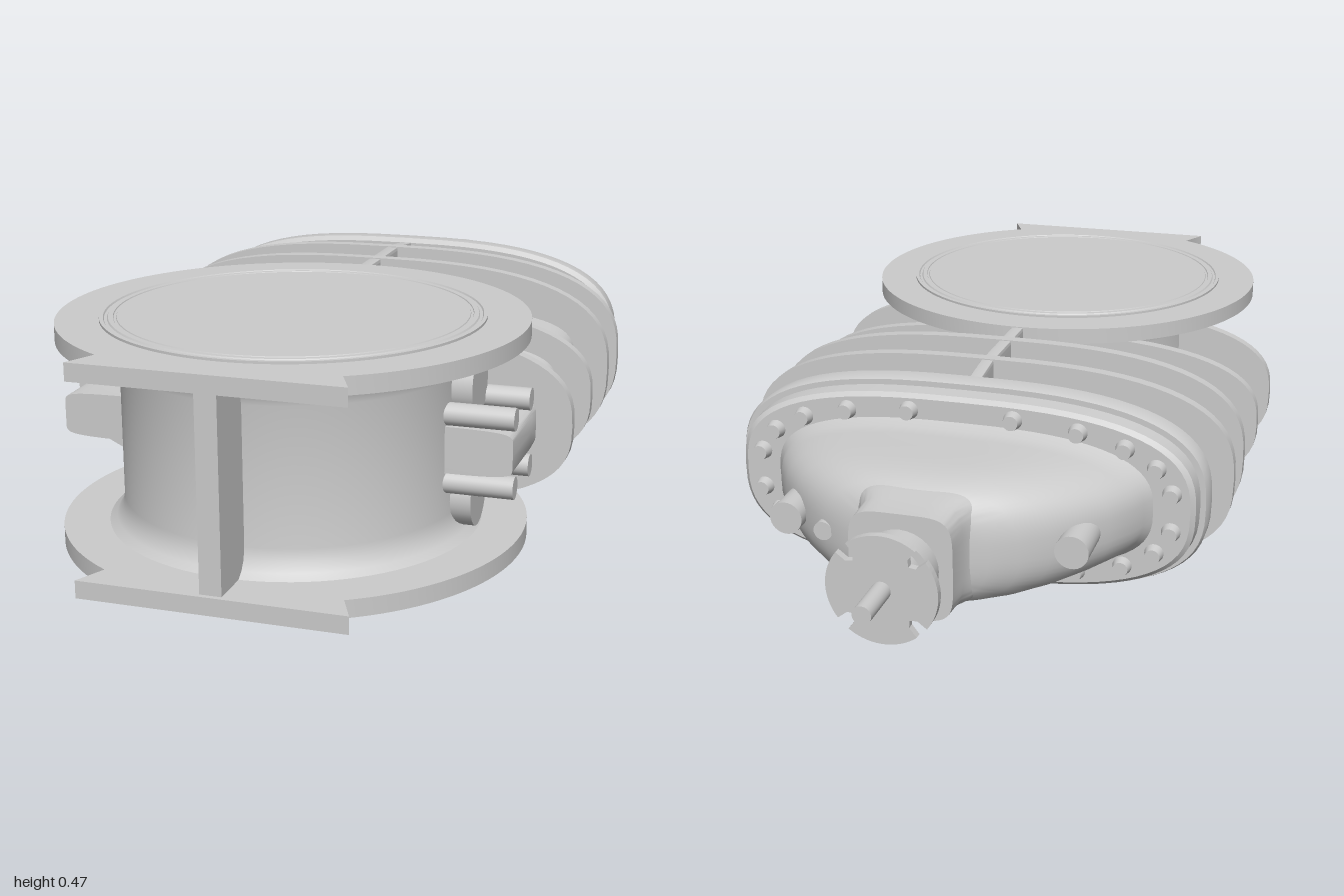
import * as THREE from 'three';
import { toCreasedNormals } from 'three/addons/utils/BufferGeometryUtils.js';

const MID = 0.235; // height of the valve's centre plane
const FLOW_Z = 0.52; // z of the vertical flow axis
const grey = new THREE.MeshStandardMaterial({ color: 0xcccccc });

// Solid through superellipse sections [z, halfWidth, halfHeight, power], z increasing
function loft(sections, steps = 72) {
  const pos = [], index = [];
  const point = (z, hx, hy, n, t) => {
    const c = Math.cos(t), s = Math.sin(t);
    pos.push(hx * Math.sign(c) * Math.abs(c) ** (2 / n), hy * Math.sign(s) * Math.abs(s) ** (2 / n), z);
  };
  for (const [z, hx, hy, n] of sections)
    for (let j = 0; j < steps; j++) point(z, hx, hy, n, (j / steps) * Math.PI * 2);
  const last = sections.length - 1, c0 = (last + 1) * steps;
  pos.push(0, 0, sections[0][0], 0, 0, sections[last][0]);
  for (let j = 0; j < steps; j++) {
    const k = (j + 1) % steps;
    for (let i = 0; i < last; i++) {
      const a = i * steps, b = a + steps;
      index.push(a + j, a + k, b + k, a + j, b + k, b + j);
    }
    index.push(c0, k, j, c0 + 1, last * steps + j, last * steps + k);
  }
  const g = new THREE.BufferGeometry();
  g.setAttribute('position', new THREE.Float32BufferAttribute(pos, 3));
  g.setIndex(index);
  return toCreasedNormals(g, 0.6);
}

export function createModel() {
  const model = new THREE.Group();
  const add = (name, geometry, x = 0, y = 0, z = 0) => {
    const m = new THREE.Mesh(geometry, grey);
    m.name = name;
    m.position.set(x, y, z);
    model.add(m);
    return m;
  };
  const addLoft = (name, sections) => add(name, loft(sections), 0, MID, 0);
  // Cylinder along z, from z0 back to z1
  const rodZ = (name, r, z0, z1, x = 0, y = MID, rBack = r) =>
    add(name, new THREE.CylinderGeometry(r, rBack, z0 - z1, 32).rotateX(Math.PI / 2), x, y, (z0 + z1) / 2);
  // Cylinder along x
  const rodX = (name, r, x0, x1, y, z) =>
    add(name, new THREE.CylinderGeometry(r, r, x1 - x0, 32).rotateZ(Math.PI / 2), (x0 + x1) / 2, y, z);

  // Vertical barrel with filleted ends
  const half = [[0.355, 0], [0.355, 0.14], [0.36, 0.165], [0.372, 0.183], [0.395, 0.2]];
  const profile = [...half.slice(1).reverse().map(([r, y]) => [r, -y]), ...half];
  add('barrel', toCreasedNormals(new THREE.LatheGeometry(
    profile.map(([r, y]) => new THREE.Vector2(r, y)), 96), 0.6), 0, MID, FLOW_Z);

  // Round pipe flanges with a flat foot at the front
  const outline = new THREE.Shape();
  outline.moveTo(0.24, 0.936);
  outline.lineTo(0.27, 1);
  outline.lineTo(-0.27, 1);
  outline.lineTo(-0.24, 0.936);
  outline.absarc(0, FLOW_Z, 0.48, Math.PI * 2 / 3, Math.PI * 7 / 3, false);
  const flange = toCreasedNormals(new THREE.ExtrudeGeometry(outline,
    { depth: 0.036, bevelEnabled: false, curveSegments: 96 }).rotateX(Math.PI / 2), 0.5);
  // Raised sealing face with shallow grooves
  const face = toCreasedNormals(new THREE.LatheGeometry(
    [[0.392, 0], [0.392, 0.005], [0.384, 0.005], [0.382, 0.002], [0.376, 0.002], [0.374, 0.005],
      [0.364, 0.005], [0.363, 0.003], [0.358, 0.003], [0.357, 0.005], [0, 0.005]]
      .map(([r, y]) => new THREE.Vector2(r, y)), 96), 0.4);
  add('topFlange', flange, 0, 0.465, 0);
  add('bottomFlange', flange, 0, 0.041, 0);
  add('topFace', face, 0, 0.465, FLOW_Z);
  add('bottomFace', face, 0, 0.005, FLOW_Z).rotation.x = Math.PI;
  add('frontRib', new THREE.BoxGeometry(0.044, 0.392, 0.13), 0, MID, 0.925);

  // Gate housing, side guides and centre rib
  addLoft('housing', [[-0.32, 0.41, 0.168, 3], [-0.05, 0.4, 0.165, 3], [0.17, 0.4, 0.135, 3.2],
    [0.4, 0.395, 0.095, 3.5], [0.5, 0.37, 0.08, 3.5]]);
  addLoft('sideGuides', [[-0.32, 0.48, 0.13, 4], [-0.05, 0.48, 0.13, 4], [0.17, 0.48, 0.115, 4],
    [0.39, 0.48, 0.062, 6], [0.45, 0.48, 0.051, 10], [0.615, 0.478, 0.048, 10]]);
  addLoft('centreRib', [[-0.34, 0.014, 0.212, 30], [-0.2, 0.014, 0.228, 30], [0.18, 0.014, 0.228, 30]]);

  // Stiffening ribs around the housing
  for (const [z, h] of [[-0.19, 0.23], [-0.05, 0.23], [0.17, 0.185], [0.39, 0.19]])
    addLoft('housingRib', [[z - 0.013, 0.555, h, 2.8], [z + 0.013, 0.555, h, 2.8]]);

  // Bolted bonnet joint
  addLoft('housingFlange', [[-0.356, 0.52, 0.222, 2.8], [-0.345, 0.525, 0.226, 2.8],
    [-0.31, 0.525, 0.226, 2.8], [-0.3, 0.515, 0.216, 2.8]]);
  addLoft('bonnetFlange', [[-0.402, 0.495, 0.198, 2.8], [-0.392, 0.505, 0.207, 2.8],
    [-0.356, 0.508, 0.21, 2.8]]);
  for (let i = 0; i < 20; i++) {
    const t = ((i + 0.5) / 20) * Math.PI * 2, c = Math.cos(t), s = Math.sin(t);
    rodZ('bonnetBolt', 0.022, -0.395, -0.424, 0.46 * Math.sign(c) * Math.abs(c) ** 0.75,
      MID + 0.172 * Math.sign(s) * Math.abs(s) ** 0.75, 0.016);
  }

  // Domed bonnet and neck
  addLoft('bonnet', [[-0.725, 0.08, 0.09, 2.4], [-0.7, 0.15, 0.113, 2.5], [-0.67, 0.205, 0.127, 2.6],
    [-0.63, 0.255, 0.135, 2.7], [-0.58, 0.305, 0.138, 2.8], [-0.52, 0.352, 0.14, 2.8],
    [-0.46, 0.39, 0.141, 2.8], [-0.425, 0.403, 0.143, 2.8], [-0.39, 0.425, 0.158, 2.8]]);
  addLoft('neck', [[-0.79, 0.106, 0.11, 5], [-0.73, 0.108, 0.113, 5], [-0.7, 0.12, 0.118, 5],
    [-0.66, 0.15, 0.12, 4]]);
  for (const s of [1, -1]) rodZ('bonnetBoss', 0.035, -0.5, -0.642, s * 0.302);
  rodZ('bonnetPlug', 0.02, -0.6, -0.68, 0.205);

  // Gland, notched mounting plate and stem
  rodZ('glandBase', 0.078, -0.78, -0.835);
  rodZ('gland', 0.062, -0.83, -0.86);
  rodZ('glandCollar', 0.072, -0.86, -0.885);
  const plate = new THREE.Shape();
  for (let i = 0; i < 4; i++) {
    const a = Math.PI / 4 + i * Math.PI / 2, w = 0.13;
    for (const [r, d] of [[0.112, -w], [0.088, -w], [0.078, 0], [0.088, w]])
      plate[i === 0 && d === -w && r > 0.1 ? 'moveTo' : 'lineTo'](r * Math.cos(a + d), r * Math.sin(a + d));
    plate.absarc(0, 0, 0.112, a + w, a + Math.PI / 2 - w, false);
  }
  add('mountingPlate', toCreasedNormals(new THREE.ExtrudeGeometry(plate,
    { depth: 0.016, bevelEnabled: false, curveSegments: 16 }), 0.5), 0, MID, -0.897);
  rodZ('stem', 0.019, -0.88, -1);

  // Bypass bosses and studs on the left side only
  for (const s of [1, -1]) {
    rodX('bypassBoss', 0.066, 0.3, 0.39, MID + s * 0.115, 0.525);
    for (const z of [0.455, 0.598]) rodX('bypassStud', 0.023, 0.3, 0.48, MID + s * 0.07, z);
  }
  return model;
}
